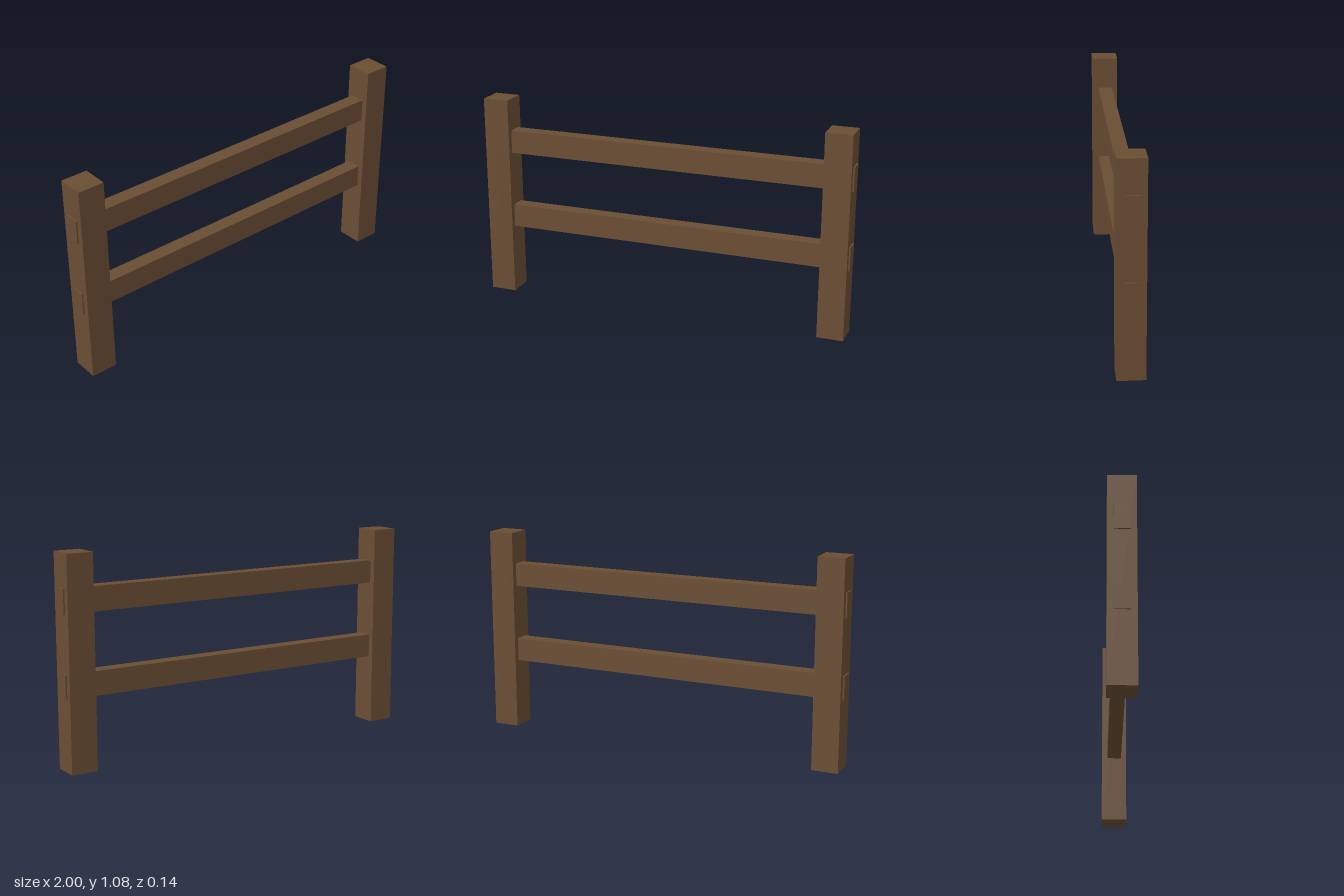
import * as THREE from 'three';

export function createModel() {
  const group = new THREE.Group();
  const wood = new THREE.MeshStandardMaterial({ color: 0x6b4e34 });
  wood.name = 'brown wood';

  const addBeam = (name, w, h, d, x, y) => {
    const mesh = new THREE.Mesh(new THREE.BoxGeometry(w, h, d), wood);
    mesh.name = name;
    mesh.position.set(x, y, 0);
    group.add(mesh);
  };

  // Square posts at both ends
  const postHeight = 1.077;
  addBeam('leftPost', 0.1385, postHeight, 0.1385, 0.923, postHeight / 2);
  addBeam('rightPost', 0.1385, postHeight, 0.1385, -0.923, postHeight / 2);

  // Rails pass through the posts and stick out slightly
  addBeam('lowerRail', 2, 0.123, 0.077, 0, 0.431);
  addBeam('upperRail', 2, 0.123, 0.077, 0, 0.846);

  return group;
}
